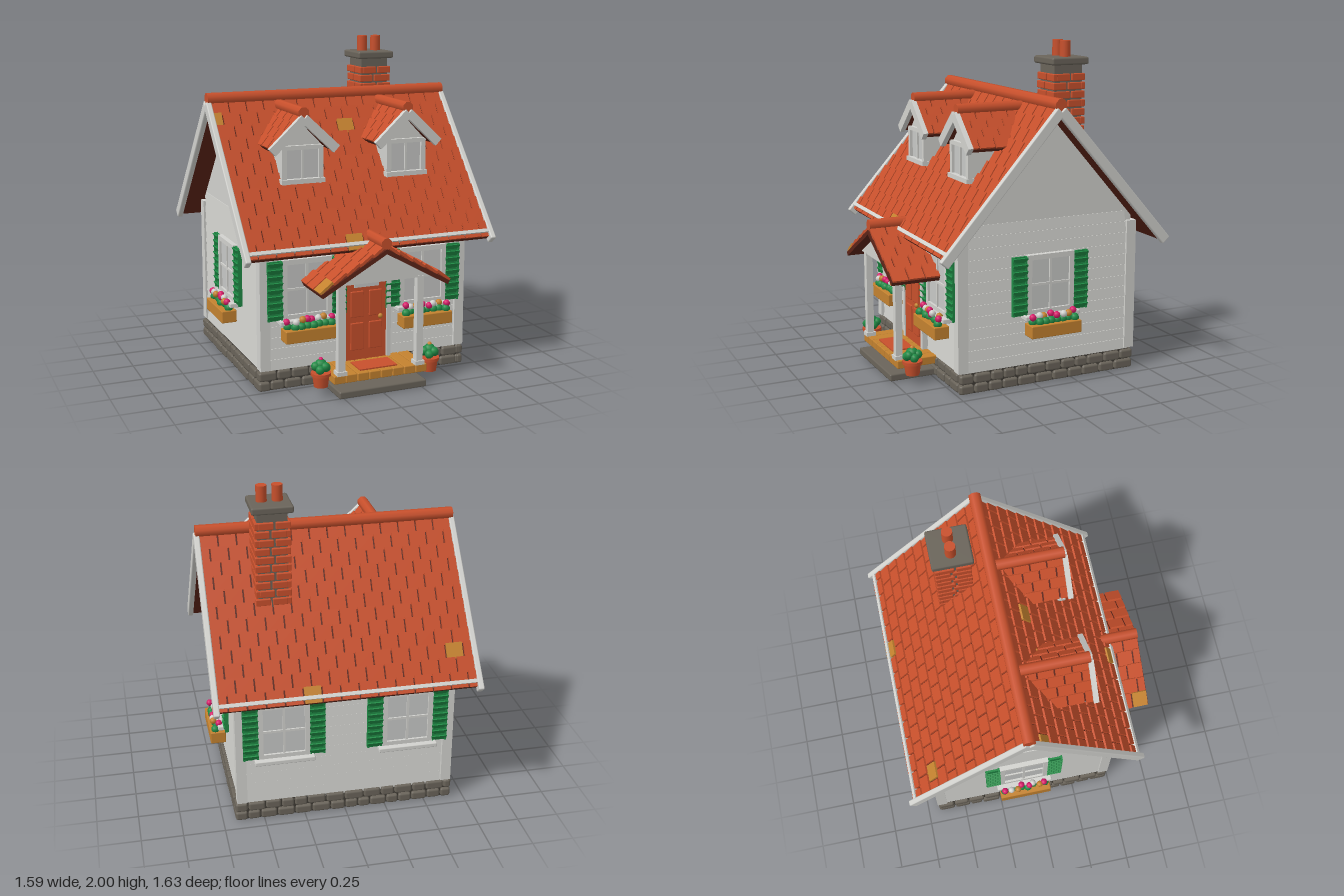
import * as THREE from 'three';
import { mergeGeometries } from 'three/addons/utils/BufferGeometryUtils.js';
import { RoundedBoxGeometry } from 'three/addons/geometries/RoundedBoxGeometry.js';

const mat = (name, color) => new THREE.MeshStandardMaterial({ name, color });
const M = {
  white: mat('white paint', 0xd2d2ce), glass: mat('pale glass', 0xc8c9c7), tile: mat('terracotta', 0xc8502c),
  under: mat('roof underlay', 0x5c2418), stone: mat('stone', 0x6a645a), dark: mat('dark footing', 0x3f3b35),
  green: mat('green', 0x1f8a45), wood: mat('golden wood', 0xc4822f), pink: mat('magenta petals', 0xd81b6a),
};
let seed = 7;
const rnd = () => (seed = (seed * 16807) % 2147483647) / 2147483647;

// Geometry helpers: every piece is placed, then merged into one named mesh per part
function put(g, x = 0, y = 0, z = 0, rx = 0, ry = 0, rz = 0) {
  const n = g.index ? g.toNonIndexed() : g;
  return n.applyMatrix4(new THREE.Matrix4().makeRotationFromEuler(new THREE.Euler(rx, ry, rz)).setPosition(x, y, z));
}
const box = (w, h, d, ...p) => put(new THREE.BoxGeometry(w, h, d), ...p);
const soft = (w, h, d, r, ...p) => put(new RoundedBoxGeometry(w, h, d, 1, r), ...p);
const cyl = (a, b, h, n, ...p) => put(new THREE.CylinderGeometry(a, b, h, n), ...p);
const ball = (r, ...p) => put(new THREE.SphereGeometry(r, 10, 7), ...p);
function part(parent, name, material, geos) {
  if (!geos.length) return;
  const m = new THREE.Mesh(mergeGeometries(geos), material);
  m.name = name;
  parent.add(m);
}
function group(parent, name, x = 0, y = 0, z = 0, ry = 0) {
  const g = new THREE.Group();
  g.name = name; g.position.set(x, y, z); g.rotation.y = ry;
  parent.add(g);
  return g;
}
// Upright prism: [x, y] outline pushed back to front along z
function prism(points, z0, z1) {
  const s = new THREE.Shape(points.map(p => new THREE.Vector2(...p)));
  return put(new THREE.ExtrudeGeometry(s, { depth: z1 - z0, bevelEnabled: false }), 0, 0, z0);
}

// One tiled slope, running down local +z from the ridge
function slope(parent, width, length, rows, cols, angle) {
  const g = group(parent, 'roofSlope');
  g.rotation.x = angle;
  const step = length / rows, tw = width / cols, red = [], gold = [];
  for (let r = 0; r < rows; r++) {
    const shift = r % 2 ? 0.5 : 0;
    for (let c = 0; c <= cols; c++) {
      const a = Math.max(0, c - shift) * tw, b = Math.min(cols, c + 1 - shift) * tw;
      if (b - a < 0.02) continue;
      const t = box(b - a - 0.011, 0.016, step + 0.004 + rnd() * 0.008,
        (a + b) / 2 - width / 2, 0.012, (r + 0.46) * step, 0.12 + rnd() * 0.03);
      (rnd() < 0.012 ? gold : red).push(t);
    }
  }
  part(g, 'tiles', M.tile, red);
  part(g, 'weatheredTiles', M.wood, gold);
  part(g, 'underlay', M.under, [box(width, 0.025, length, 0, -0.0125, length / 2)]);
  return g;
}
// Two slopes back to back with a ridge cap along local x
function gableRoof(parent, width, length, rows, cols, angle, capR, capLen) {
  const sides = [0, Math.PI].map(ry => slope(group(parent, 'roofHalf', 0, 0, 0, ry), width, length, rows, cols, angle));
  part(parent, 'ridgeCap', M.tile, [cyl(capR, capR, capLen, 8, 0, 0.03, 0, Math.PI / 8, 0, Math.PI / 2)]);
  return sides;
}

function flowers(parent, width, y, z) {
  const leaves = [], blooms = { pink: [], wood: [], white: [] }, keys = ['pink', 'white', 'wood', 'pink'];
  for (let i = 0; i < 8; i++) {
    const x = (i / 7 - 0.5) * width;
    leaves.push(ball(0.026, x, y + 0.008, z + (rnd() - 0.5) * 0.03));
    blooms[keys[i % 4]].push(ball(0.021, x + (rnd() - 0.5) * 0.02, y + 0.035 + rnd() * 0.015, z + (rnd() - 0.5) * 0.04));
  }
  part(parent, 'leaves', M.green, leaves);
  for (const k in blooms) part(parent, 'flowers', M[k], blooms[k]);
}

// Shuttered window facing local +z, optionally with a planted box
function windowUnit(parent, x, z, ry, planted) {
  const g = group(parent, 'window', x, 0, z, ry), f = [], s = [];
  for (const k of [-1, 1]) {
    f.push(box(0.03, 0.36, 0.03, k * 0.14, 0.61, 0.012), box(0.31, 0.03, 0.03, 0, 0.61 + k * 0.165, 0.012));
    const cx = k * 0.2;
    s.push(box(0.092, 0.355, 0.012, cx, 0.608, 0.012));
    for (const e of [-1, 1]) s.push(box(0.012, 0.355, 0.024, cx + e * 0.04, 0.608, 0.014));
    for (let i = 0; i < 9; i++) s.push(box(0.094, 0.03, 0.008, cx, 0.45 + i * 0.0395, 0.024, 0.45));
  }
  f.push(box(0.014, 0.33, 0.02, 0, 0.61, 0.012), box(0.28, 0.014, 0.02, 0, 0.61, 0.012));
  f.push(soft(0.36, 0.028, 0.07, 0.006, 0, 0.42, 0.025));
  part(g, 'windowFrame', M.white, f);
  part(g, 'windowPane', M.glass, [box(0.28, 0.33, 0.008, 0, 0.61, 0.009)]);
  part(g, 'shutters', M.green, s);
  if (planted) {
    part(g, 'flowerBox', M.wood, [soft(0.33, 0.076, 0.095, 0.006, 0, 0.348, 0.06)]);
    flowers(g, 0.27, 0.39, 0.062);
  }
}

function dormer(parent, x) {
  const g = group(parent, 'dormer', x, 0, 0);
  part(g, 'dormerWalls', M.white, [prism([[-0.125, 1.15], [0.125, 1.15], [0.125, 1.42], [0, 1.55], [-0.125, 1.42]], 0.1, 0.41)]);
  const f = [box(0.27, 0.028, 0.05, 0, 1.212, 0.42), box(0.24, 0.025, 0.03, 0, 1.41, 0.418), box(0.012, 0.18, 0.02, 0, 1.31, 0.416)];
  for (const k of [-1, 1]) {
    f.push(box(0.03, 0.21, 0.03, k * 0.115, 1.31, 0.418));
    f.push(box(0.275, 0.055, 0.032, k * 0.1, 1.488, 0.452, 0, 0, -k * 0.75));
  }
  part(g, 'dormerTrim', M.white, f);
  part(g, 'dormerPane', M.glass, [box(0.21, 0.17, 0.008, 0, 1.31, 0.411)]);
  gableRoof(group(g, 'dormerRoof', 0, 1.585, 0.235, Math.PI / 2), 0.41, 0.265, 4, 4, 0.75, 0.034, 0.43);
}

function porch(root) {
  const g = group(root, 'porch');
  part(g, 'stoneStep', M.stone, [soft(0.56, 0.045, 0.3, 0.01, 0, 0.0225, 0.615)]);
  const planks = [];
  for (let i = 0; i < 8; i++) planks.push(soft(0.072, 0.05, 0.26, 0.006, (i - 3.5) * 0.075, 0.104, 0.595));
  part(g, 'deck', M.wood, planks);
  part(g, 'doormat', M.tile, [box(0.24, 0.008, 0.14, 0, 0.133, 0.62)]);
  const w = [prism([[-0.33, 0.665], [0.33, 0.665], [0, 0.85]], 0.7, 0.72)];
  for (const k of [-1, 1]) {
    w.push(box(0.042, 0.55, 0.042, k * 0.25, 0.4, 0.702), box(0.06, 0.025, 0.06, k * 0.25, 0.14, 0.702));
    w.push(box(0.035, 0.03, 0.24, k * 0.25, 0.668, 0.59), box(0.028, 0.56, 0.04, k * 0.147, 0.4, 0.49));
  }
  w.push(box(0.32, 0.03, 0.04, 0, 0.675, 0.49));
  part(g, 'postsAndTrim', M.white, w);
  gableRoof(group(g, 'porchRoof', 0, 0.873, 0.635, Math.PI / 2), 0.31, 0.465, 5, 3, 0.51, 0.034, 0.3);

  // Panelled door with a small top light
  const d = [box(0.262, 0.54, 0.03, 0, 0.395, 0.488)];
  for (const k of [-1, 1]) for (const [y, h] of [[0.275, 0.17], [0.475, 0.16]])
    d.push(soft(0.085, h, 0.016, 0.006, k * 0.06, y, 0.504));
  part(g, 'door', M.tile, d);
  part(g, 'doorLight', M.glass, [box(0.16, 0.06, 0.008, 0, 0.608, 0.505)]);
  part(g, 'doorKnob', M.wood, [ball(0.015, 0.088, 0.39, 0.515)]);

  // Potted shrubs
  for (const x of [-0.352, 0.352]) {
    const p = group(g, 'plantPot', x, 0, 0.652);
    part(p, 'pot', M.tile, [cyl(0.052, 0.042, 0.075, 14, 0, 0.094, 0), cyl(0.06, 0.06, 0.018, 14, 0, 0.133, 0)]);
    const b = [ball(0.036, 0, 0.188, 0)];
    for (let i = 0; i < 6; i++) b.push(ball(0.027, Math.cos(i * 1.047) * 0.033, 0.166 + (i % 2) * 0.016, Math.sin(i * 1.047) * 0.033));
    part(p, 'shrub', M.green, b);
    part(p, 'bloom', x < 0 ? M.pink : M.wood, [ball(0.014, 0, 0.22, 0)]);
  }
}

function chimney(root) {
  const g = group(root, 'chimney', 0.375, 0, -0.315), bricks = [];
  for (let r = 0; r < 10; r++) for (let s = 0; s < 4; s++) for (const k of [-1, 1]) {
    const o = k * 0.05 + (r % 2 ? 0.012 : -0.012), a = s * Math.PI / 2;
    bricks.push(soft(0.088, 0.042, 0.03, 0.005, Math.cos(a) * o + Math.sin(a) * 0.09, 1.318 + r * 0.052, Math.cos(a) * 0.093 - Math.sin(a) * o, 0, a));
  }
  part(g, 'bricks', M.tile, bricks);
  part(g, 'coreAndCap', M.stone, [box(0.178, 0.62, 0.184, 0, 1.56, 0), soft(0.245, 0.045, 0.245, 0.012, 0, 1.882, 0)]);
  part(g, 'chimneyPots', M.tile, [-0.046, 0.046].map(x => cyl(0.032, 0.032, 0.11, 14, x, 1.945, 0)));
}

export function createModel() {
  const root = new THREE.Group();
  root.name = 'cottage';
  const house = group(root, 'house', 0, 0, -0.095);

  // Stone foundation
  part(house, 'footing', M.dark, [box(1.31, 0.12, 1.12, 0, 0.06, 0)]);
  const stones = [];
  for (let s = 0; s < 4; s++) {
    const a = s * Math.PI / 2, len = s % 2 ? 1.16 : 1.35, out = s % 2 ? 0.648 : 0.553;
    for (let r = 0; r < 2; r++) {
      for (let t = -len / 2; t < len / 2 - 0.03;) {
        let w = 0.075 + rnd() * 0.045;
        if (t + w > len / 2 - 0.04) w = len / 2 - t;
        const o = t + w / 2, z = out + rnd() * 0.006;
        stones.push(soft(w - 0.006, 0.056, 0.05, 0.014, Math.cos(a) * o + Math.sin(a) * z, 0.03 + r * 0.061, Math.cos(a) * z - Math.sin(a) * o, 0, a));
        t += w;
      }
    }
  }
  part(house, 'foundationStones', M.stone, stones);

  // Walls, clapboards and corner posts
  const walls = [put(prism([[-0.56, 0.1], [0.56, 0.1], [0.56, 0.96], [0, 1.595], [-0.56, 0.96]], -0.643, 0.643), 0, 0, 0, 0, Math.PI / 2)];
  for (let s = 0; s < 4; s++) {
    const a = s * Math.PI / 2, len = s % 2 ? 1.1 : 1.26, out = s % 2 ? 0.646 : 0.563;
    for (let r = 0; r < (s % 2 ? 13 : 12); r++)
      walls.push(box(r === 12 ? 1.03 : len, 0.064, 0.012, Math.sin(a) * out, 0.154 + r * 0.067, Math.cos(a) * out, -0.1, 0, 0));
    for (let i = walls.length - (s % 2 ? 13 : 12), r = 0; i < walls.length; i++, r++)
      walls[i] = put(box(r === 12 ? 1.03 : len, 0.063, 0.012, 0, 0, 0, -0.1), Math.sin(a) * out, 0.154 + r * 0.067, Math.cos(a) * out, 0, a);
  }
  part(house, 'walls', M.white, walls);
  const posts = [];
  for (const x of [-1, 1]) for (const z of [-1, 1]) posts.push(box(0.062, 0.8, 0.064, x * 0.634, 0.53, z * 0.556));
  part(house, 'cornerPosts', M.white, posts);

  // Main roof with verge boards and eave boards
  const roof = group(house, 'mainRoof', 0, 1.635, 0);
  for (const side of gableRoof(roof, 1.53, 1.065, 12, 14, 0.847, 0.038, 1.57)) {
    const trim = [-1, 1].map(k => soft(0.035, 0.062, 1.09, 0.008, k * 0.778, 0, 0.548));
    trim.push(box(1.53, 0.045, 0.022, 0, 0.006, 1.035));
    part(side, 'roofTrim', M.white, trim);
  }
  dormer(house, -0.335);
  dormer(house, 0.335);

  // Windows on all four sides
  for (const x of [-0.375, 0.375]) {
    windowUnit(house, x, 0.575, 0, true);
    windowUnit(house, x, -0.575, Math.PI, false);
  }
  for (const k of [-1, 1]) windowUnit(house, k * 0.657, 0, k * Math.PI / 2, true);

  porch(root);
  chimney(root);
  return root;
}
